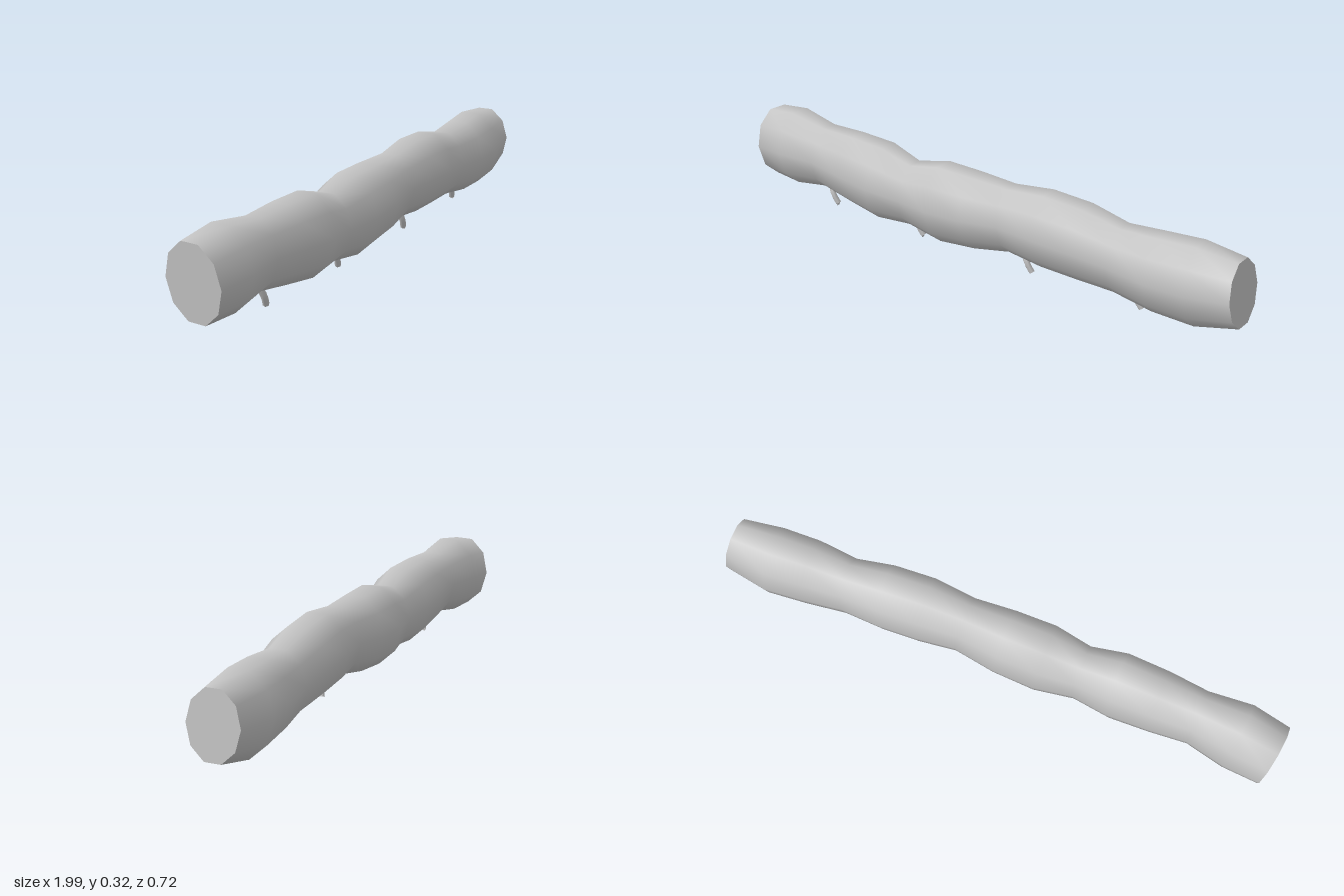
import * as THREE from 'three';

const SIDES = 10;

// Body rings: centre x, centre z, top y, bottom y, width
const RINGS = [
  [-0.977, 0.251, 0.300, 0.043, 0.217], [-0.845, 0.230, 0.321, 0.044, 0.235],
  [-0.700, 0.200, 0.300, 0.069, 0.190], [-0.565, 0.168, 0.306, 0.048, 0.217],
  [-0.420, 0.133, 0.304, 0.026, 0.228], [-0.290, 0.098, 0.268, 0.039, 0.187],
  [-0.157, 0.060, 0.299, 0.018, 0.234], [-0.013, 0.020, 0.299, 0.035, 0.228],
  [0.131, -0.018, 0.297, 0.066, 0.192], [0.268, -0.058, 0.315, 0.054, 0.225],
  [0.406, -0.102, 0.307, 0.049, 0.224], [0.543, -0.145, 0.277, 0.044, 0.190],
  [0.682, -0.185, 0.287, 0.024, 0.224], [0.817, -0.232, 0.294, 0.018, 0.232],
  [0.964, -0.274, 0.281, 0.057, 0.182],
];

// Corner points of each ring, square to the body's path
function ringPoints() {
  const centres = RINGS.map(([x, z, top, bottom]) => new THREE.Vector3(x, (top + bottom) / 2, z));
  const flat = Math.sin(Math.PI * 0.4); // flat edges lie on top and bottom
  return RINGS.map(([, , top, bottom, width], i) => {
    const before = centres[Math.max(i - 1, 0)];
    const after = centres[Math.min(i + 1, RINGS.length - 1)];
    const along = after.clone().sub(before).normalize();
    const side = new THREE.Vector3().crossVectors(along, new THREE.Vector3(0, 1, 0)).normalize();
    const up = new THREE.Vector3().crossVectors(side, along);
    const points = [];
    for (let j = 0; j < SIDES; j++) {
      const a = (j / SIDES) * Math.PI * 2;
      points.push(centres[i].clone()
        .addScaledVector(side, Math.cos(a) * width / 2)
        .addScaledVector(up, Math.sin(a) * (top - bottom) / 2 / flat));
    }
    return points;
  });
}

function meshGeometry(points, index) {
  const geometry = new THREE.BufferGeometry().setFromPoints(points);
  geometry.setIndex(index);
  geometry.computeVertexNormals();
  return geometry;
}

// Smooth skin between neighbouring rings, facing outward
function skinGeometry(rings) {
  const index = [];
  for (let i = 0; i < rings.length - 1; i++) {
    for (let j = 0; j < SIDES; j++) {
      const k = (j + 1) % SIDES;
      const a = i * SIDES + j, b = i * SIDES + k;
      const c = a + SIDES, d = b + SIDES;
      index.push(a, c, b, b, c, d);
    }
  }
  return meshGeometry(rings.flat(), index);
}

// Flat end face
function capGeometry(points) {
  const index = [];
  for (let j = 1; j < SIDES - 1; j++) index.push(0, j, j + 1);
  return meshGeometry(points, index);
}

export function createModel() {
  const model = new THREE.Group();
  model.name = 'segmentedBody';
  const grey = new THREE.MeshStandardMaterial({ color: 0xc4c4c4 });
  grey.name = 'grey';

  const add = (name, geometry, parent = model) => {
    const mesh = new THREE.Mesh(geometry, grey);
    mesh.name = name;
    parent.add(mesh);
    return mesh;
  };

  // Body
  const rings = ringPoints();
  add('bodySkin', skinGeometry(rings));
  add('rightEnd', capGeometry(rings[0]));
  add('leftEnd', capGeometry([...rings[rings.length - 1]].reverse()));

  // Small bent feet under each waist
  const feet = [[-0.653, 0.202], [-0.240, 0.100], [0.220, -0.032], [0.632, -0.160]];
  feet.forEach(([x, z], i) => {
    const foot = new THREE.Group();
    foot.name = `foot${i + 1}`;
    foot.position.set(x, 0, z);
    const path = [[-0.042, 0.09, 0.002], [-0.016, 0.04, 0.008], [0, 0.006, -0.002]]
      .map((p) => new THREE.Vector3(...p));
    add('footStem', new THREE.TubeGeometry(new THREE.CatmullRomCurve3(path), 4, 0.011, 6), foot);
    const sole = add('footSole', new THREE.CircleGeometry(0.011, 6), foot);
    sole.position.copy(path[2]);
    sole.lookAt(path[2].clone().multiplyScalar(2).sub(path[1]));
    model.add(foot);
  });

  return model;
}
